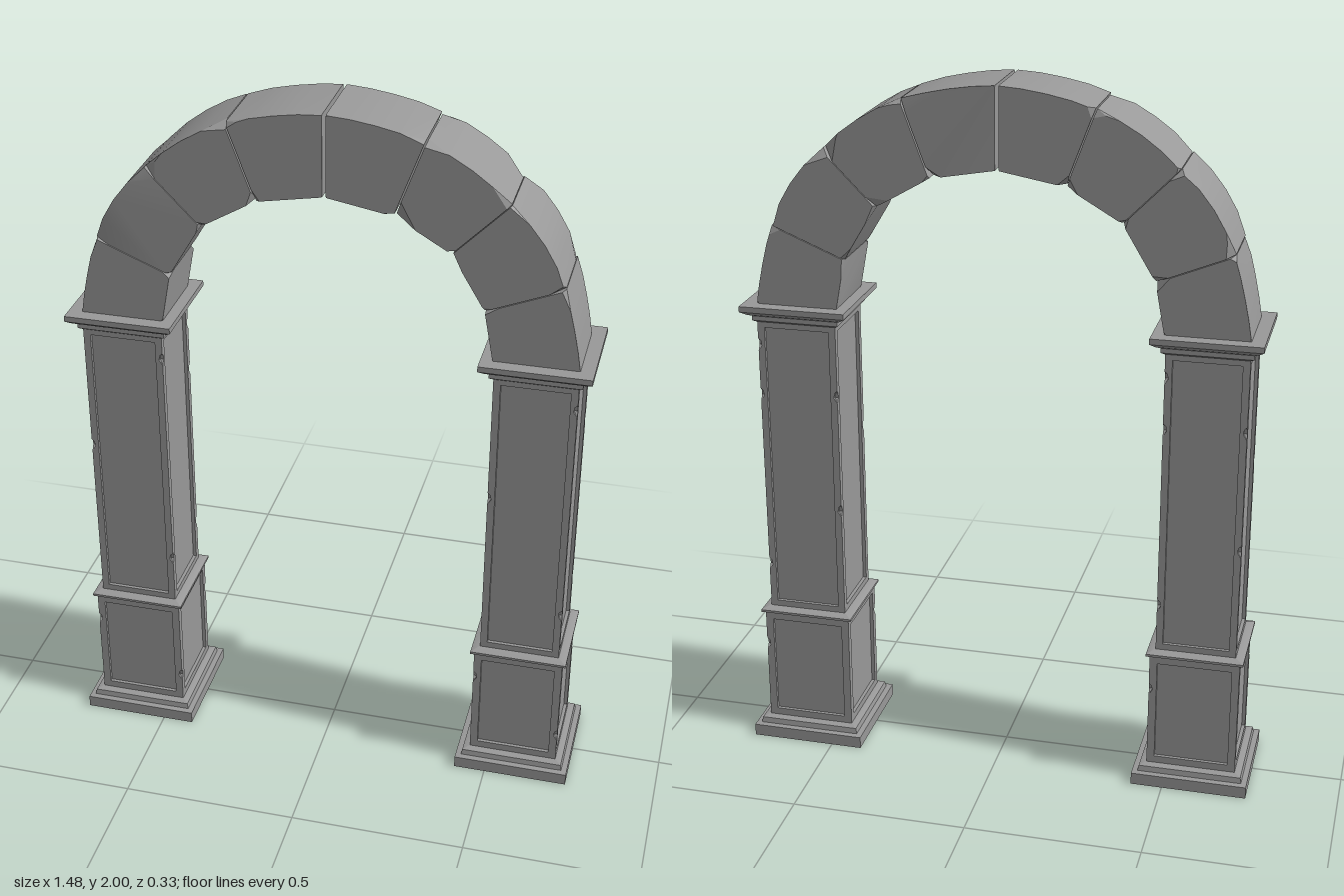
import * as THREE from 'three';
import { ConvexGeometry } from 'three/addons/geometries/ConvexGeometry.js';
import { toCreasedNormals } from 'three/addons/utils/BufferGeometryUtils.js';

const stone = new THREE.MeshStandardMaterial({ color: 0x999999 });
const RECESS = 0.01; // depth of the sunken panels

// Crisp edges, with only the gently curved stone faces smoothed
function part(name, geometry) {
  const mesh = new THREE.Mesh(toCreasedNormals(geometry, 0.4), stone);
  mesh.name = name;
  return mesh;
}

// Square moulding swept from a [halfWidth, y] profile
function squareLathe(profile) {
  const points = profile.map(([h, y]) => new THREE.Vector2(h * Math.SQRT2, y));
  return new THREE.LatheGeometry(points, 4, Math.PI / 4);
}

// Flat frame around one sunken panel, with small chips knocked out of its edges
function frameGeometry(half, y0, y1, border, rightChips, leftChips) {
  const outline = new THREE.Shape();
  outline.moveTo(-half, y0);
  outline.lineTo(half, y0);
  for (const y of [...rightChips].sort((a, b) => a - b)) {
    outline.lineTo(half, y - 0.022);
    outline.lineTo(half - 0.01, y - 0.006);
    outline.lineTo(half - 0.008, y + 0.008);
    outline.lineTo(half, y + 0.016);
  }
  outline.lineTo(half, y1);
  outline.lineTo(-half, y1);
  for (const y of [...leftChips].sort((a, b) => b - a)) {
    outline.lineTo(-half, y + 0.016);
    outline.lineTo(-half + 0.008, y + 0.008);
    outline.lineTo(-half + 0.01, y - 0.006);
    outline.lineTo(-half, y - 0.022);
  }
  const w = half - border, b = y0 + border, t = y1 - border;
  const hole = new THREE.Path();
  hole.moveTo(-w, b);
  hole.lineTo(-w, t);
  hole.lineTo(w, t);
  hole.lineTo(w, b);
  outline.holes.push(hole);
  return new THREE.ExtrudeGeometry(outline, { depth: RECESS, bevelEnabled: false })
    .translate(0, 0, half - RECESS);
}

// Four frames around a square shaft; chips[i] lists chip heights on corner i
function panelling(name, half, y0, y1, border, chips) {
  const group = new THREE.Group();
  group.name = name;
  for (let i = 0; i < 4; i++) {
    const frame = part('panelFrame', frameGeometry(half, y0, y1, border, chips[i], chips[(i + 3) % 4]));
    frame.rotation.y = i * Math.PI / 2;
    group.add(frame);
  }
  return group;
}

function createPillar(name) {
  const pillar = new THREE.Group();
  pillar.name = name;
  pillar.add(
    part('plinth', squareLathe([[0, 0], [0.166, 0], [0.166, 0.035], [0.15, 0.037], [0.147, 0.053], [0.13, 0.058], [0, 0.058]])),
    part('pedestalCore', squareLathe([[0.128 - RECESS, 0.055], [0.128 - RECESS, 0.405]])),
    panelling('pedestalPanels', 0.128, 0.057, 0.402, 0.022, [[0.15], [0.3], [], [0.32]]),
    part('ledge', squareLathe([[0, 0.4], [0.128, 0.4], [0.138, 0.405], [0.138, 0.412], [0.116, 0.42], [0, 0.42]])),
    part('shaftCore', squareLathe([[0.114 - RECESS, 0.415], [0.114 - RECESS, 1.31]])),
    panelling('shaftPanels', 0.114, 0.418, 1.308, 0.02, [[0.57, 1.24], [0.56, 1.09, 1.24], [0.75, 1.1], [0.93]]),
    part('capital', squareLathe([[0, 1.305], [0.116, 1.305], [0.125, 1.311], [0.125, 1.324], [0.137, 1.33],
      [0.152, 1.341], [0.152, 1.357], [0, 1.357]])),
  );
  return pillar;
}

// Arch joints from springing to crown: outer and inner ends, and half the gap
const JOINTS = [
  { outer: [0.69, 1.355], inner: [0.457, 1.355], gap: 0.001 },
  { outer: [0.637, 1.585], inner: [0.43, 1.5], gap: 0.001 },
  { outer: [0.487, 1.805], inner: [0.338, 1.653], gap: 0.001 },
  { outer: [0.263, 1.952], inner: [0.185, 1.742], gap: 0.002 },
  { outer: [0, 2.0], inner: [0, 1.775], gap: 0.005 },
];
// Slight belly on the outer face of each block
const BELLY = [0.004, 0.018, 0.014, 0.008];

// Convex stone block between two joints, with every corner worn off unevenly
function voussoirGeometry(index, side, random) {
  const depth = 0.112;
  const corner = (joint, edge, z) =>
    new THREE.Vector3(side * JOINTS[joint][edge][0], JOINTS[joint][edge][1], z * depth);
  const toward = (from, to, distance) => from.clone().add(to.clone().sub(from).setLength(distance));
  const points = [];
  for (const step of [0, 1]) {
    const joint = index + step, other = index + 1 - step;
    const sharp = joint === 0 || joint === 4 ? 0.2 : 1;
    for (const edge of ['outer', 'inner']) {
      const opposite = edge === 'outer' ? 'inner' : 'outer';
      for (const z of [-1, 1]) {
        const along = corner(other, edge, z);
        const inset = toward(corner(joint, edge, z), along, JOINTS[joint].gap).sub(corner(joint, edge, z));
        const shifted = (e, s) => corner(joint, e, s).add(inset);
        const c = shifted(edge, z);
        const wear = () => sharp * (0.006 + 0.04 * random() ** 1.6);
        points.push(
          toward(c, along, wear() * 1.4),
          toward(c, shifted(opposite, z), wear()),
          toward(c, shifted(edge, -z), wear()),
        );
      }
    }
  }
  // Belly points across the middle of the outer face
  const [a, b] = [JOINTS[index].outer, JOINTS[index + 1].outer];
  const length = Math.hypot(b[0] - a[0], b[1] - a[1]);
  for (const t of [0.25, 0.5, 0.75]) {
    const rise = BELLY[index] * 4 * t * (1 - t);
    for (const z of [-1, 1]) {
      points.push(new THREE.Vector3(
        side * (a[0] + (b[0] - a[0]) * t + (b[1] - a[1]) / length * rise),
        a[1] + (b[1] - a[1]) * t + (a[0] - b[0]) / length * rise,
        z * depth));
    }
  }
  return new ConvexGeometry(points);
}

export function createModel() {
  const model = new THREE.Group();
  model.name = 'stoneArchway';

  let seed = 7;
  const random = () => (seed = (seed * 16807) % 2147483647) / 2147483647;
  random();

  const arch = new THREE.Group();
  arch.name = 'arch';
  for (const side of [-1, 1]) {
    const pillar = createPillar(side < 0 ? 'rightPillar' : 'leftPillar');
    pillar.position.x = side * 0.576;
    model.add(pillar);
    for (let i = 0; i < 4; i++) arch.add(part('archBlock', voussoirGeometry(i, side, random)));
  }
  model.add(arch);
  return model;
}
